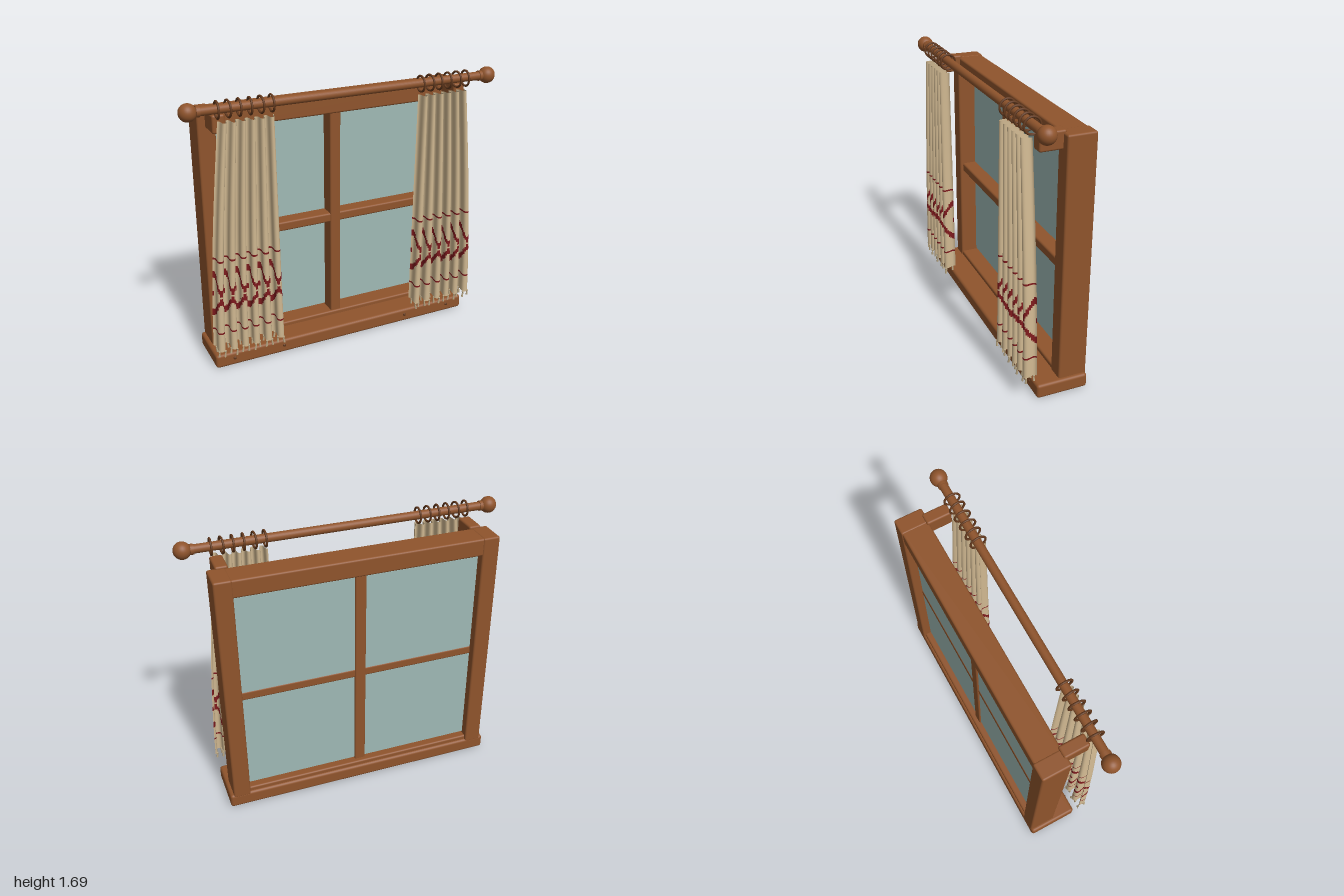
import * as THREE from 'three';
import { RoundedBoxGeometry } from 'three/addons/geometries/RoundedBoxGeometry.js';

const material = (name, color, side = THREE.FrontSide) => {
  const m = new THREE.MeshStandardMaterial({ color, side });
  m.name = name;
  return m;
};

export function createModel() {
  const wood = material('wood', 0x8f542c);
  const darkWood = material('dark wood', 0x63391d);
  const glass = material('glass', 0x9fb9b5);
  const cloth = material('linen', 0xd0b891, THREE.DoubleSide);
  const red = material('red embroidery', 0x7f1a1d, THREE.DoubleSide);
  const fringe = material('fringe', 0xb9a683);

  const model = new THREE.Group();
  model.name = 'curtainedWindow';

  const add = (name, geometry, mat, x = 0, y = 0, z = 0, parent = model) => {
    const mesh = new THREE.Mesh(geometry, mat);
    mesh.name = name;
    mesh.position.set(x, y, z);
    parent.add(mesh);
    return mesh;
  };
  // Rounded timber given by its limits on each axis
  const beam = (name, [x0, x1], [y0, y1], [z0, z1], r = 0.012) =>
    add(name, new RoundedBoxGeometry(x1 - x0, y1 - y0, z1 - z0, 3, r), wood,
      (x0 + x1) / 2, (y0 + y1) / 2, (z0 + z1) / 2);

  // Frame, glazing bars and pane
  beam('sill', [-0.88, 0.88], [0, 0.09], [-0.21, 0.11], 0.018);
  beam('bottomRail', [-0.76, 0.76], [0.07, 0.117], [-0.195, -0.04]);
  beam('topRail', [-0.77, 0.77], [1.47, 1.58], [-0.205, -0.04]);
  beam('verticalBar', [-0.035, 0.035], [0.1, 1.48], [-0.165, -0.05], 0.01);
  beam('horizontalBar', [-0.76, 0.76], [0.757, 0.817], [-0.157, -0.055], 0.012);
  add('pane', new THREE.BoxGeometry(1.51, 1.318, 0.008), glass, 0, 0.786, -0.15);

  for (const s of [-1, 1]) {
    const span = (a, b) => (s > 0 ? [a, b] : [-b, -a]);
    beam('sidePost', span(0.75, 0.857), [0.07, 1.583], [-0.21, -0.035]);
    beam('rodBracket', span(0.735, 0.81), [1.49, 1.597], [-0.055, 0.1]);
    for (const x of [0.435, 0.762]) {
      add('sillScrew', new THREE.SphereGeometry(0.01, 12, 8), darkWood, s * x, 0.05, 0.11).scale.z = 0.6;
    }
  }

  // Curtain rod with ball ends
  const rodY = 1.64, rodZ = 0.128;
  add('rod', new THREE.CylinderGeometry(0.026, 0.026, 1.86, 24), wood, 0, rodY, rodZ).rotation.z = Math.PI / 2;
  for (const s of [-1, 1]) {
    add('rodBall', new THREE.SphereGeometry(0.051, 28, 18), wood, s * 0.949, rodY, rodZ);
    add('rodCollar', new THREE.CylinderGeometry(0.031, 0.031, 0.02, 24), wood, s * 0.895, rodY, rodZ).rotation.z = Math.PI / 2;
  }

  // Curtains
  const folds = 6, top = 1.572, bottom = 0.175;
  // Point on the pleated cloth: u runs inner to outer edge, t runs top to bottom
  const clothPoint = (s, u, t) => {
    const ease = Math.sin(Math.min(1, t * 1.05) * Math.PI / 2) * 0.6 + t * 0.4;
    const inner = 0.462 - 0.014 * t;
    const outer = 0.79 + 0.108 * ease;
    const phase = 2 * Math.PI * folds * u + 0.35 * t * Math.sin(u * 9 + 1);
    const amp = 0.028 + 0.008 * t;
    const x = inner + (outer - inner) * u + 0.009 * Math.sin(phase * 2) * (0.4 + 0.6 * t);
    const hem = 0.008 * t * t * Math.cos(phase);
    return [s * x, top + (bottom - top) * t + hem, 0.158 - amp * Math.cos(phase)];
  };
  // Embroidery: two thin lines and a chain of hexagons with central dots
  const isRed = (u, y) => {
    if (Math.abs(y - 0.765) < 0.005 || Math.abs(y - 0.3) < 0.005) return true;
    const f = Math.abs(((u * folds) % 1) - 0.5) * 2;
    const d = Math.abs(y - 0.535);
    const arm = 0.02 + 0.105 * Math.min(1, f * 1.25);
    return Math.abs(d - arm) < 0.02 || (d < 0.016 && f > 0.84);
  };

  const makeCurtain = (s) => {
    const curtain = new THREE.Group();
    curtain.name = s > 0 ? 'leftCurtain' : 'rightCurtain';
    model.add(curtain);

    const cols = 108, rows = 130, points = [], plain = [], stitched = [];
    for (let j = 0; j <= rows; j++) {
      for (let i = 0; i <= cols; i++) {
        const u = s > 0 ? i / cols : 1 - i / cols;
        points.push(...clothPoint(s, u, j / rows));
      }
    }
    for (let j = 0; j < rows; j++) {
      for (let i = 0; i < cols; i++) {
        const a = j * (cols + 1) + i, b = a + cols + 1;
        const u = (i + 0.5) / cols;
        const y = top + (bottom - top) * (j + 0.5) / rows;
        (isRed(s > 0 ? u : 1 - u, y) ? stitched : plain).push(a, b, a + 1, b, b + 1, a + 1);
      }
    }
    const geometry = new THREE.BufferGeometry();
    geometry.setAttribute('position', new THREE.Float32BufferAttribute(points, 3));
    geometry.setIndex([...plain, ...stitched]);
    geometry.addGroup(0, plain.length, 0);
    geometry.addGroup(plain.length, stitched.length, 1);
    geometry.computeVertexNormals();
    add('cloth', geometry, [cloth, red], 0, 0, 0, curtain);

    // Knotted fringe along the hem
    const count = 24;
    for (let k = 0; k < count; k++) {
      const [x, y, z] = clothPoint(s, (k + 0.5) / count, 1);
      const length = 0.03 + 0.012 * Math.abs(Math.sin(k * 2.3));
      add('fringeKnot', new THREE.SphereGeometry(0.007, 8, 6), fringe, x, y - 0.002, z, curtain);
      add('fringeTassel', new THREE.CylinderGeometry(0.004, 0.007, length, 8), fringe,
        x, y - length / 2, z, curtain).rotation.z = 0.2 * Math.sin(k * 1.7);
    }

    // Rings over the rod
    for (let k = 0; k < folds; k++) {
      const ring = add('curtainRing', new THREE.TorusGeometry(0.047, 0.0065, 10, 32), darkWood,
        s * (0.476 + 0.0628 * k), 1.637, 0.132, curtain);
      ring.rotation.y = Math.PI / 2 + 0.08 * Math.sin(k * 2);
    }
  };
  makeCurtain(1);
  makeCurtain(-1);

  return model;
}
